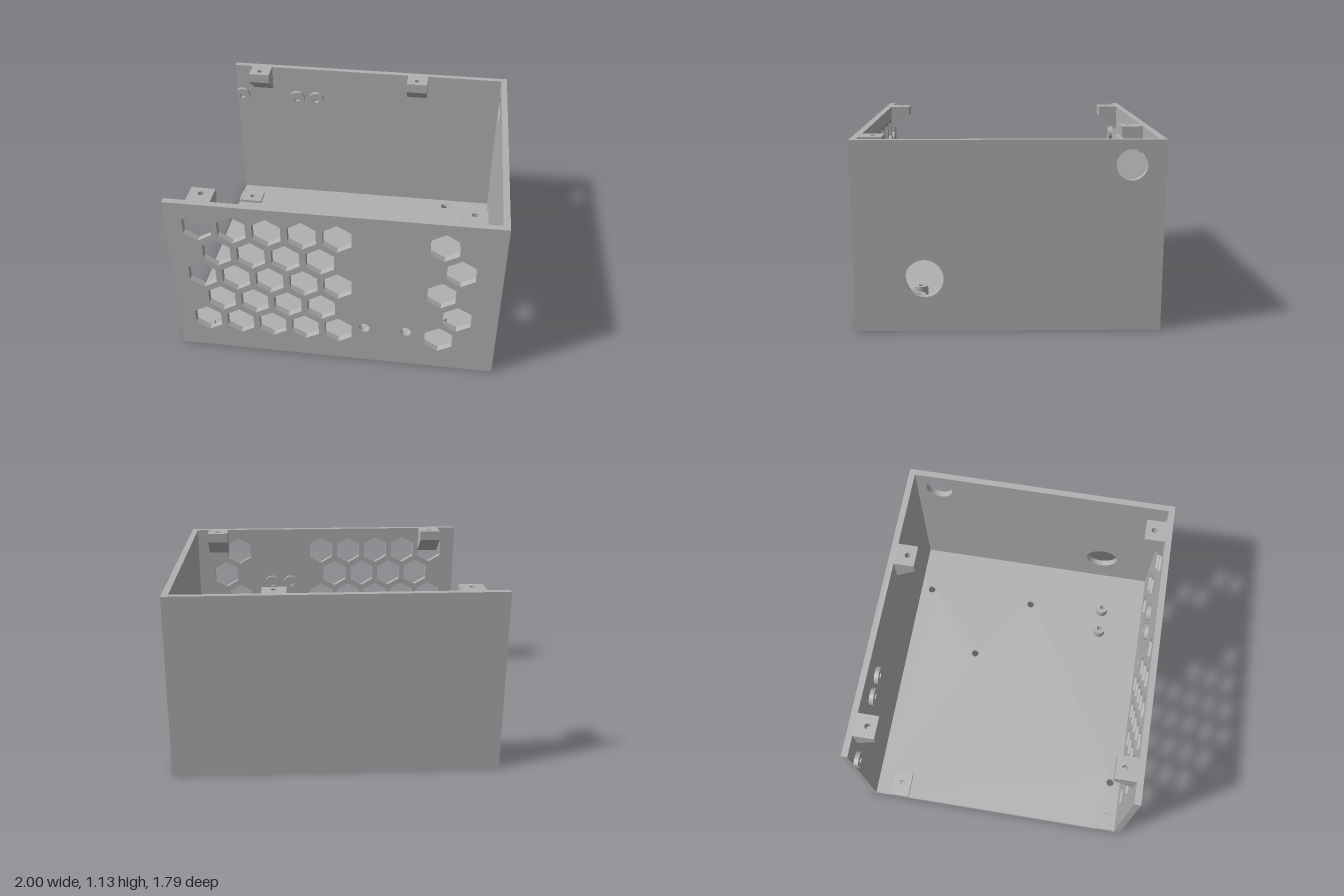
import * as THREE from 'three';
import { toCreasedNormals } from 'three/addons/utils/BufferGeometryUtils.js';

const W = 1, H = 1.13, D = 0.895, T = 0.04; // half width, height, half depth, wall thickness

const shellGrey = new THREE.MeshStandardMaterial({ color: 0xb0b0b0 });

function circle(x, y, r) {
  return new THREE.Path().absarc(x, y, r, 0, Math.PI * 2, true);
}

function hexagon(x, y, r) {
  const pts = [];
  for (let i = 0; i < 6; i++) {
    const a = Math.PI / 2 - (i * Math.PI) / 3;
    pts.push(new THREE.Vector2(x + r * Math.cos(a), y + r * Math.sin(a)));
  }
  return new THREE.Path(pts);
}

function rect(x0, y0, x1, y1, holes = []) {
  const s = new THREE.Shape();
  s.moveTo(x0, y0).lineTo(x1, y0).lineTo(x1, y1).lineTo(x0, y1).closePath();
  s.holes.push(...holes);
  return s;
}

function plate(shape, depth) {
  const g = new THREE.ExtrudeGeometry(shape, { depth, bevelEnabled: false, curveSegments: 20 });
  return toCreasedNormals(g, 0.6);
}

// Plate drawn in (x, z) with its upper face at height top
function flatPlate(shape, depth, top) {
  return plate(shape, depth).rotateX(Math.PI / 2).translate(0, top, 0);
}

// Ring outline; a cut above 0 trims it with a vertical chord that far left of centre
function ring(x, y, r, hole, cut = 0) {
  const a = cut ? Math.PI - Math.acos(cut / r) : Math.PI;
  const s = new THREE.Shape();
  s.absarc(x, y, r, -a, a, false);
  s.holes.push(circle(x, y, hole));
  return s;
}

export function createModel() {
  const group = new THREE.Group();
  const add = (name, geometry) => {
    const m = new THREE.Mesh(geometry, shellGrey);
    m.name = name;
    group.add(m);
    return m;
  };

  // Front wall with honeycomb vents and two round holes
  const frontHoles = [circle(0.19, 0.277, 0.033), circle(0.448, 0.277, 0.033)];
  for (let row = 0; row < 5; row++) {
    const odd = row % 2, y = 0.236 + row * 0.182;
    for (let i = 0; i < 5 - odd; i++) {
      frontHoles.push(hexagon(-0.81 + odd * 0.105 + i * 0.209, y, 0.098));
    }
    frontHoles.push(hexagon(0.651 + odd * 0.105, y, 0.098));
  }
  add('frontWall', plate(rect(-W, 0, W, H, frontHoles), T).translate(0, 0, D - T));

  // Plain back wall
  add('backWall', plate(rect(-W, 0, W, H), T).translate(0, 0, -D));

  // Side wall with two cable holes, drawn in (z, y)
  const sideHoles = [circle(-0.70, 0.985, 0.09), circle(0.487, 0.32, 0.112)];
  add('leftWall', plate(rect(-D + T, 0, D - T, H, sideHoles), T)
    .rotateY(-Math.PI / 2).translate(W, 0, 0));

  // Floor with countersunk screw holes
  const screws = [[0.622, -0.775], [0.155, -0.348], [0.622, 0.003], [-0.66, 0.785]];
  const floorHoles = screws.map(([x, z]) => circle(x, z, 0.043));
  add('floor', flatPlate(rect(-W, -D + T, W - T, D - T, floorHoles), T, T));
  const sinkProfile = [[0.043, T], [0.025, T], [0.025, 0.02], [0.043, 0]]
    .map(([x, y]) => new THREE.Vector2(x, y));
  for (const [x, z] of screws) {
    add('countersink', toCreasedNormals(new THREE.LatheGeometry(sinkProfile, 40), 0.5)
      .translate(x, 0, z));
  }

  // Lid brackets: drilled slab over a wedge that slopes back to the wall
  const slab = 0.065, low = 0.955, reach = 0.132;
  const brackets = [[-0.795, -1], [0.362, -1], [-0.795, 1], [0.803, 1]];
  for (const [x, side] of brackets) {
    const wall = D - T, tip = wall - reach;
    const z0 = Math.min(side * wall, side * tip), z1 = Math.max(side * wall, side * tip);
    add('lidBracket', flatPlate(
      rect(x - 0.073, z0, x + 0.073, z1, [circle(x, side * 0.778, 0.019)]), slab, H));
    const wedge = new THREE.Shape();
    wedge.moveTo(side * wall, low).lineTo(side * wall, H - slab).lineTo(side * tip, H - slab);
    wedge.closePath();
    add('bracketWedge', plate(wedge, 0.146).rotateY(-Math.PI / 2).translate(x + 0.073, 0, 0));
  }

  // Drilled pads on the floor beside the open side
  for (const [z0, z1] of [[-0.74, -0.62], [0.73, 0.845]]) {
    const hole = circle(-0.905, (z0 + z1) / 2, 0.019);
    add('floorPad', flatPlate(rect(-W, z0, -0.825, z1, [hole]), 0.02, T + 0.02));
  }

  // Short standoffs on the floor
  for (const x of [0.481, 0.655]) {
    add('floorStandoff', flatPlate(ring(x, 0.55, 0.043, 0.017), 0.07, T + 0.07));
  }

  // Round bosses on the inner faces of the back and front walls
  for (const [x, cut] of [[-0.96, 0.04], [-0.539, 0], [-0.395, 0]]) {
    add('backBoss', plate(ring(x, 0.888, 0.057, 0.02, cut), 0.028).translate(0, 0, -D + T));
  }
  for (const x of [0.262, 0.405]) {
    add('frontBoss', plate(ring(x, 0.71, 0.057, 0.02), 0.028).translate(0, 0, D - T - 0.028));
  }

  return group;
}
